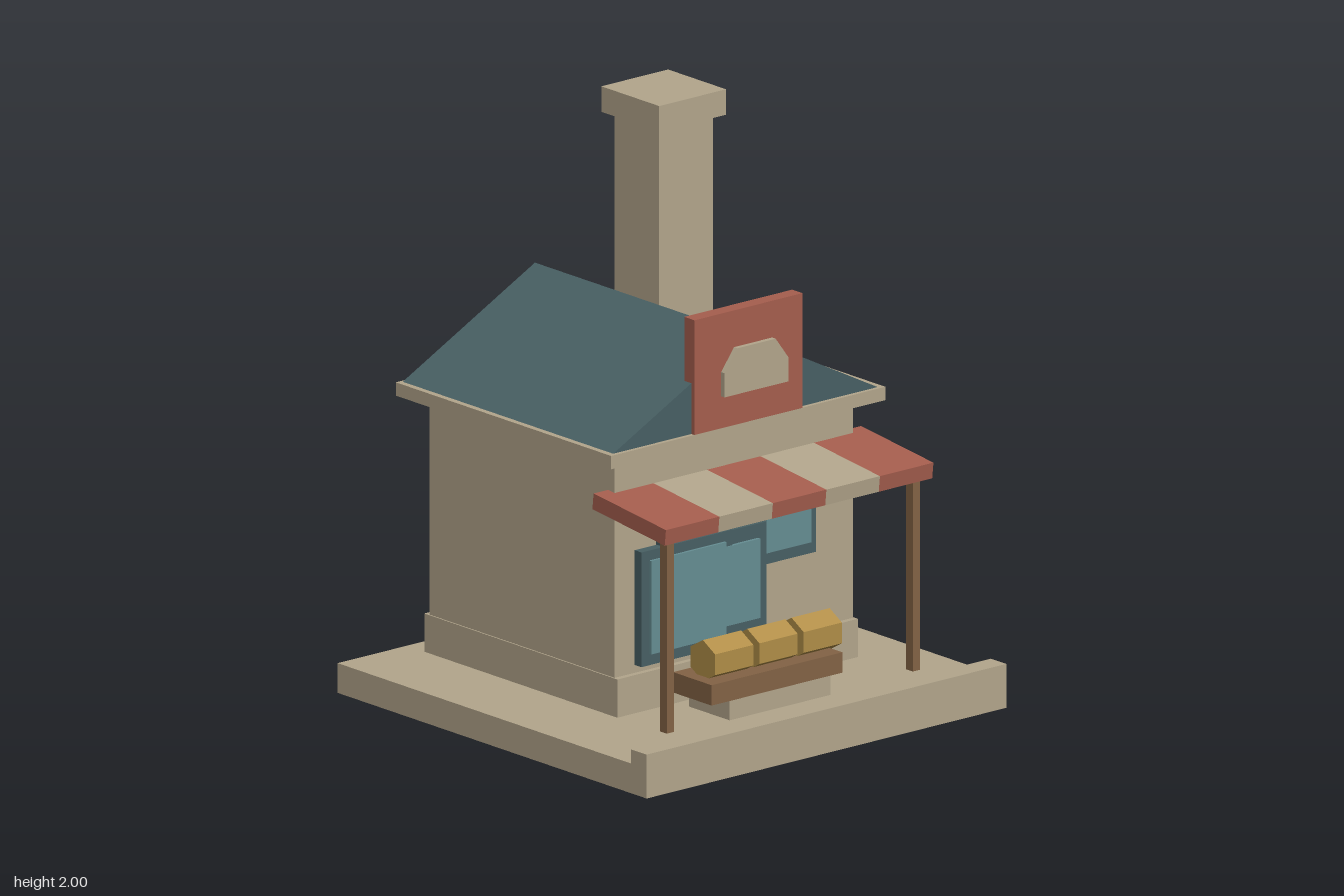
import * as THREE from 'three';

const mat = (name, color) => {
  const m = new THREE.MeshStandardMaterial({ color });
  m.name = name;
  return m;
};

export function createModel() {
  const group = new THREE.Group();
  const stone = mat('stone', 0xb3a68c);
  const red = mat('brickRed', 0xa65e4e);
  const roofTeal = mat('roofTeal', 0x486064);
  const glass = mat('glass', 0x668e93);
  const wood = mat('wood', 0x836345);
  const straw = mat('straw', 0xb18e48);

  const add = (name, geometry, material) => {
    const mesh = new THREE.Mesh(geometry, material);
    mesh.name = name;
    group.add(mesh);
    return mesh;
  };
  // Box given by its extents on each axis
  const box = (name, material, x0, x1, y0, y1, z0, z1) => {
    const mesh = add(name, new THREE.BoxGeometry(x1 - x0, y1 - y0, z1 - z0), material);
    mesh.position.set((x0 + x1) / 2, (y0 + y1) / 2, (z0 + z1) / 2);
    return mesh;
  };
  // Outline in x and y, extruded from z0 to z1
  const slab = (name, material, points, z0, z1) => {
    const shape = new THREE.Shape(points.map(([x, y]) => new THREE.Vector2(x, y)));
    const mesh = add(name, new THREE.ExtrudeGeometry(shape, { depth: z1 - z0, bevelEnabled: false }), material);
    mesh.position.z = z0;
    return mesh;
  };

  // Ground slab, kerb and doorstep
  box('groundSlab', stone, -0.8, 0.8, 0, 0.105, -0.8, 0.8);
  box('kerb', stone, -0.8, 0.8, 0.105, 0.155, 0.72, 0.8);
  box('doorstep', stone, -0.225, 0.225, 0.105, 0.185, 0.35, 0.56);

  // House body
  box('plinth', stone, -0.535, 0.535, 0.125, 0.26, -0.66, 0.34);
  box('walls', stone, -0.53, 0.53, 0.26, 1.03, -0.64, 0.32);
  box('eaves', stone, -0.61, 0.61, 1.03, 1.077, -0.72, 0.395);
  slab('roof', roofTeal, [[-0.588, 1.077], [0.588, 1.077], [0, 1.38]], -0.71, 0.38);

  // Chimney
  box('chimney', stone, 0.2, 0.44, 1.1, 1.91, -0.53, -0.3);
  box('chimneyCap', stone, 0.175, 0.472, 1.91, 2, -0.57, -0.27);

  // Sign board with plain plaque
  box('signBoard', red, -0.24, 0.24, 1.077, 1.482, 0.343, 0.396);
  slab('signPlaque', stone,
    [[-0.142, 1.2], [0.142, 1.2], [0.142, 1.285], [0.085, 1.362], [-0.085, 1.362], [-0.142, 1.285]], 0.42, 0.438);

  // Small front windows
  for (const x of [-0.222, 0.222]) {
    box('frontWindowFrame', roofTeal, x - 0.125, x + 0.125, 0.535, 0.807, 0.315, 0.342);
    box('frontWindowGlass', glass, x - 0.1, x + 0.1, 0.575, 0.787, 0.33, 0.348);
  }
  // Door and shop window
  box('door', roofTeal, -0.12, 0.118, 0.145, 0.69, 0.32, 0.352);
  box('doorGlass', glass, -0.08, 0.08, 0.36, 0.64, 0.345, 0.364);
  box('shopWindowFrame', roofTeal, -0.445, -0.04, 0.29, 0.695, 0.325, 0.36);
  box('shopWindowGlass', glass, -0.41, -0.075, 0.33, 0.66, 0.345, 0.37);

  // Windows in the left wall
  for (const z of [0.07, -0.39]) {
    box('sideWindow', glass, 0.52, 0.553, 0.53, 0.802, z - 0.108, z + 0.108);
  }

  // Striped awning on two posts
  const awning = new THREE.Group();
  awning.name = 'awning';
  awning.position.set(0, 0.867, 0.471);
  awning.rotation.x = 0.112;
  const stripe = 1.19 / 5;
  for (let i = 0; i < 5; i++) {
    const mesh = new THREE.Mesh(new THREE.BoxGeometry(stripe, 0.057, 0.377), i % 2 ? stone : red);
    mesh.name = 'awningStripe';
    mesh.position.x = (i - 2) * stripe;
    awning.add(mesh);
  }
  group.add(awning);
  for (const x of [-0.55, 0.545]) {
    box('awningPost', wood, x - 0.016, x + 0.016, 0.143, 0.85, 0.597, 0.632);
  }

  // Bench with three six-sided bales
  box('bench', wood, -0.5, 0.082, 0.265, 0.337, 0.588, 0.787);
  for (let i = 0; i < 3; i++) {
    const geometry = new THREE.CylinderGeometry(0.073, 0.073, 0.17, 6).toNonIndexed();
    geometry.rotateZ(Math.PI / 2);
    // Point of the hexagon upwards
    geometry.computeVertexNormals();
    const bale = add('bale', geometry, straw);
    bale.position.set(-0.37 + i * 0.197, 0.392, 0.69);
    const pos = geometry.attributes.position;
    let top = 0;
    for (let k = 0; k < pos.count; k++) top = Math.max(top, pos.getY(k));
    if (top < 0.07) bale.rotation.x = Math.PI / 6;
  }
  return group;
}
